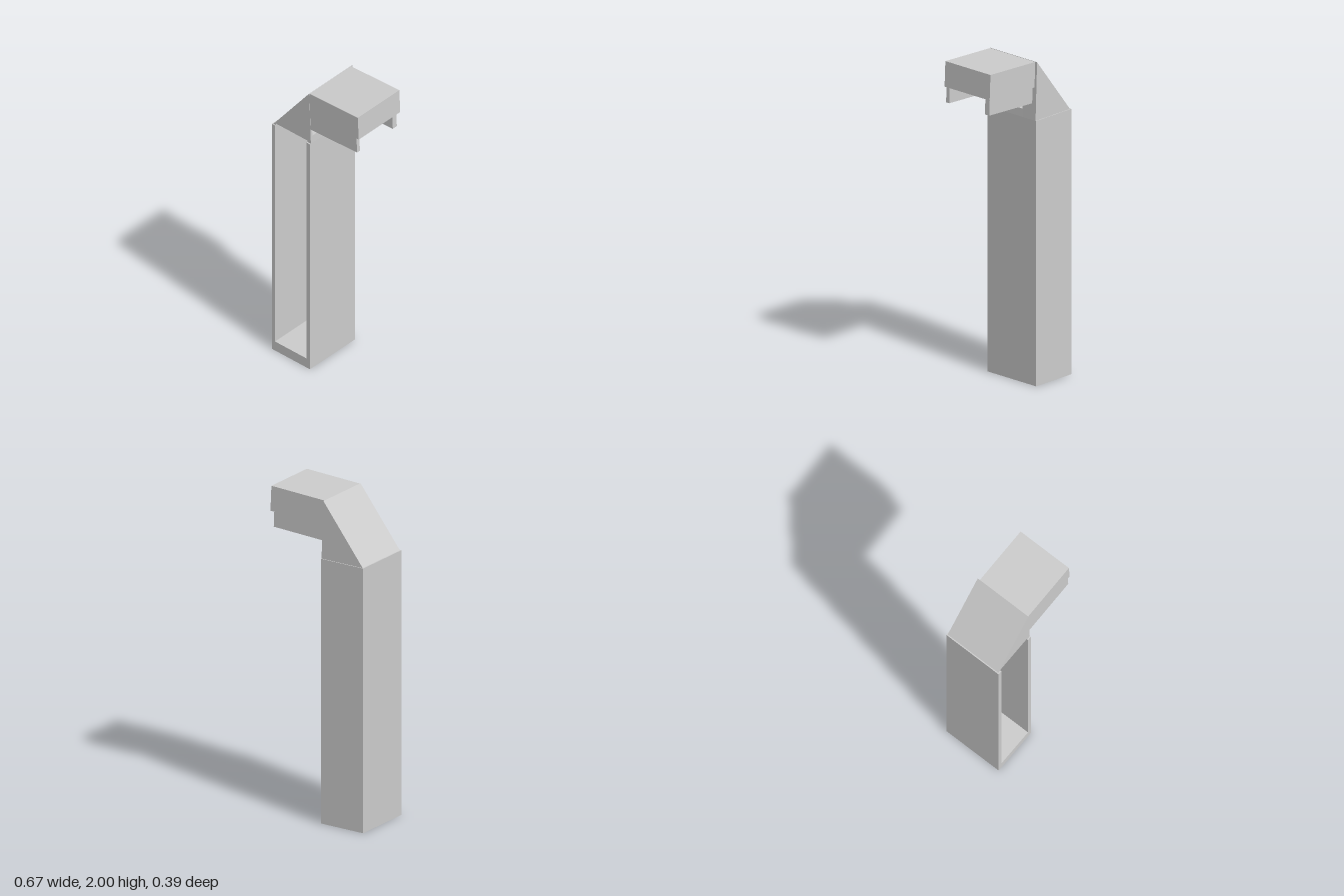
import * as THREE from 'three';

const material = new THREE.MeshStandardMaterial({ color: 0xcccccc, flatShading: true });

// Extrudes an x/y outline between two z positions.
function slab(name, points, z0, z1) {
  const shape = new THREE.Shape(points.map(([x, y]) => new THREE.Vector2(x, y)));
  const geometry = new THREE.ExtrudeGeometry(shape, { depth: z1 - z0, bevelEnabled: false });
  geometry.translate(0, 0, z0);
  const mesh = new THREE.Mesh(geometry, material);
  mesh.name = name;
  return mesh;
}

export function createModel() {
  const model = new THREE.Group();
  model.name = 'angledPost';

  // Hollow column, open at the front, closed by a thin back plate
  const L = -0.335, R = -0.037, top = 1.63;
  const inL = -0.31, inR = -0.063, floor = 0.065, ceiling = 1.64;
  const column = new THREE.Group();
  column.name = 'column';
  column.add(
    slab('columnWalls', [
      [L, 0], [R, 0], [R, top], [inR, top], [inR, floor], [inL, floor], [inL, top], [L, top],
    ], -0.175, 0.195),
    slab('columnBack', [[L, 0], [R, 0], [R, top], [L, top]], -0.195, -0.175),
  );

  // Sloped shoulder, sliced along z so that a pocket opens under the arm
  const bottomPlain = [[-0.328, top], [R, top]];
  const bottomNotched = [
    [-0.328, top], [inL, top], [inL, ceiling], [inR, ceiling], [inR, top], [R, top],
  ];
  const pocket = [[-0.039, 1.68], [-0.26, 1.68], [-0.135, 1.84], [-0.045, 1.84]];
  const peak = [[-0.05, 1.987]];
  const shoulder = new THREE.Group();
  shoulder.name = 'shoulder';
  shoulder.add(
    slab('shoulderBack', [...bottomPlain, ...peak], -0.19, -0.175),
    slab('shoulderCore', [...bottomNotched, ...peak], -0.175, -0.085),
    slab('shoulderPocket', [...bottomNotched, ...pocket, ...peak], -0.085, 0.172),
    slab('shoulderFront', [...bottomNotched, ...peak], 0.172, 0.187),
  );

  // Slightly tilted arm with two rails hanging beneath it
  const arm = new THREE.Group();
  arm.name = 'arm';
  arm.add(slab('armBlock', [
    [-0.045, 1.83], [0.335, 1.845], [0.328, 2], [-0.05, 1.985],
  ], -0.175, 0.185));
  const rail = [[-0.04, 1.73], [0.322, 1.745], [0.318, 1.845], [-0.045, 1.83]];
  for (const [name, z0, z1] of [['frontRail', 0.16, 0.185], ['backRail', -0.16, -0.125]]) {
    arm.add(slab(name, rail, z0, z1));
  }

  model.add(column, shoulder, arm);
  return model;
}
